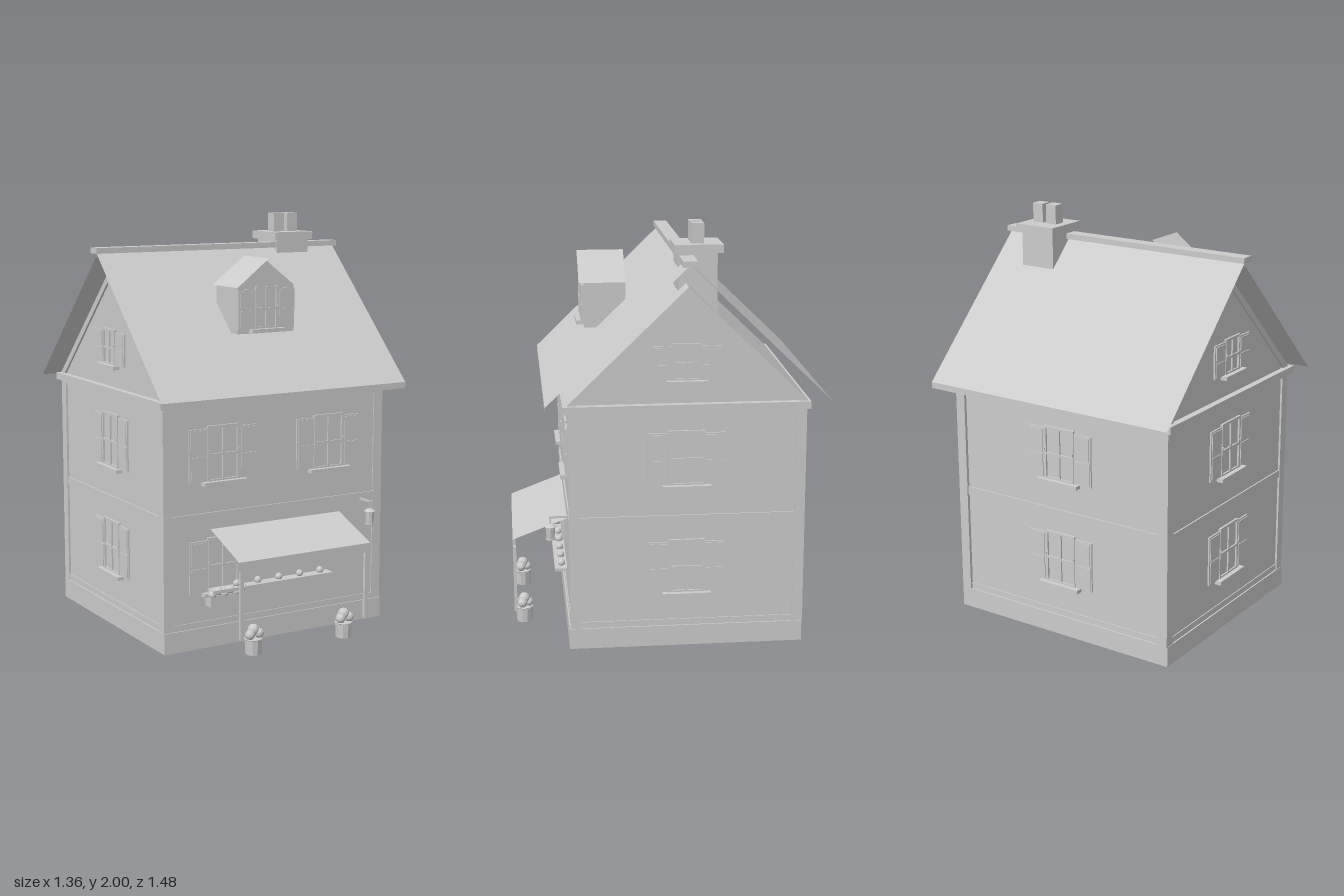
import * as THREE from 'three';

const mat = new THREE.MeshStandardMaterial({ color: 0xcccccc, flatShading: true });
const openMat = new THREE.MeshStandardMaterial({ color: 0xcccccc, flatShading: true, side: THREE.DoubleSide });
const CZ = -0.08; // depth of the house centre line

function add(parent, name, geo, x = 0, y = 0, z = 0, material = mat) {
  const m = new THREE.Mesh(geo, material);
  m.name = name;
  m.position.set(x, y, z);
  parent.add(m);
  return m;
}

// box given by its min/max on each axis
function box(parent, name, x0, x1, y0, y1, z0, z1) {
  return add(parent, name, new THREE.BoxGeometry(x1 - x0, y1 - y0, z1 - z0),
    (x0 + x1) / 2, (y0 + y1) / 2, (z0 + z1) / 2);
}

// open sheet: a profile in x/y swept along z, facing up when it runs towards +x
function sheet(points, length) {
  const pos = [], h = length / 2;
  for (let i = 0; i < points.length - 1; i++) {
    const [ax, ay] = points[i], [bx, by] = points[i + 1];
    pos.push(ax, ay, h, bx, by, h, bx, by, -h, ax, ay, h, bx, by, -h, ax, ay, -h);
  }
  const g = new THREE.BufferGeometry();
  g.setAttribute('position', new THREE.Float32BufferAttribute(pos, 3));
  g.computeVertexNormals();
  return g;
}

// solid prism centred along z
function prism(points, length) {
  const s = new THREE.Shape(points.map(p => new THREE.Vector2(...p)));
  return new THREE.ExtrudeGeometry(s, { depth: length, bevelEnabled: false }).translate(0, 0, -length / 2);
}

// shuttered window facing +z, standing on y = 0 against the plane z = 0
function shutteredWindow(w, h, shutter) {
  const g = new THREE.Group();
  g.name = 'window';
  const a = w / 2;
  box(g, 'pane', -a, a, 0.01, h, -0.01, 0.003);
  for (const s of [-1, 1]) {
    box(g, 'frameSide', s * (a - 0.006) - 0.006, s * (a - 0.006) + 0.006, 0.01, h, 0, 0.012);
    const c = s * (a + shutter / 2), b = shutter / 2;
    box(g, 'shutter', c - b, c + b, 0.012, h - 0.012, 0, 0.008);
    for (const k of [0, 1]) {
      const y = 0.02 + k * (h - 0.03) / 2;
      box(g, 'shutterPanel', c - b + 0.008, c + b - 0.008, y, y + (h - 0.05) / 2, 0.006, 0.012);
    }
    box(g, 'shutterCatch', s * (a - 0.004) - 0.003, s * (a - 0.004) + 0.003, h * 0.55, h * 0.55 + 0.012, 0.01, 0.018);
  }
  for (const y of [0.016, h / 2, h - 0.006]) box(g, 'frameBar', -a, a, y - 0.006, y + 0.006, 0, 0.011);
  box(g, 'mullion', -0.005, 0.005, 0.01, h, 0, 0.011);
  box(g, 'sill', -a - 0.03, a + 0.03, -0.004, 0.014, 0, 0.035);
  return g;
}

function placeWindow(parent, x, y, z, turn, w = 0.17, h = 0.275, shutter = 0.097) {
  const g = shutteredWindow(w, h, shutter);
  g.position.set(x, y, z);
  g.rotation.y = turn;
  parent.add(g);
}

function flowerTub(x) {
  const g = new THREE.Group();
  g.name = 'flowerTub';
  add(g, 'tub', new THREE.CylinderGeometry(0.042, 0.038, 0.075, 10), 0, 0.0475, 0);
  add(g, 'tubRim', new THREE.TorusGeometry(0.04, 0.004, 4, 10).rotateX(Math.PI / 2), 0, 0.083, 0);
  for (const [bx, by, bz, r] of [[0, 0.125, 0, 0.028], [-0.024, 0.105, 0.01, 0.024], [0.024, 0.108, 0.01, 0.024], [0, 0.105, -0.022, 0.022]])
    add(g, 'bloom', new THREE.IcosahedronGeometry(r, 1), bx, by, bz);
  g.position.set(x, 0, 0.687);
  return g;
}

export function createModel() {
  const house = new THREE.Group();
  house.name = 'house';

  // walls, plinth and bands
  box(house, 'walls', -0.6, 0.6, 0.05, 1.18, -0.62, 0.47);
  box(house, 'plinth', -0.612, 0.612, 0, 0.1, -0.632, 0.48);
  box(house, 'plinthBand', -0.605, 0.605, 0.1, 0.13, -0.625, 0.474);
  box(house, 'storeyBand', -0.607, 0.607, 0.61, 0.65, -0.627, 0.477);
  box(house, 'corniceLower', -0.61, 0.61, 1.14, 1.16, -0.63, 0.48);
  box(house, 'cornice', -0.632, 0.632, 1.155, 1.19, -0.65, 0.5);
  for (const sx of [-1, 1]) for (const sz of [-1, 1])
    box(house, 'cornerPost', sx * 0.585 - 0.025, sx * 0.585 + 0.025, 0.1, 1.155,
      CZ + sz * 0.53 - 0.025, CZ + sz * 0.53 + 0.025);

  // gables with their raking trim
  const gable = add(house, 'gable', prism([[-0.54, 1.18], [0.54, 1.18], [0, 1.71]], 1.2), 0, 0, CZ);
  const rake = add(house, 'rakeTrim',
    prism([[-0.56, 1.19], [-0.515, 1.19], [0, 1.69], [0.515, 1.19], [0.56, 1.19], [0, 1.73]], 1.22), 0, 0, CZ);
  gable.rotation.y = rake.rotation.y = Math.PI / 2;

  // roof slopes with open ends, and ridge beam
  for (const s of [-1, 1]) {
    const slope = add(house, 'roofSlope',
      sheet([[0, 1.84], [0.66, 1.2], [0.66, 1.17], [0, 1.81]], 1.34), 0, 0, CZ);
    slope.rotation.y = -s * Math.PI / 2;
  }
  box(house, 'ridgeBeam', -0.68, 0.68, 1.83, 1.857, -0.113, -0.047);

  // chimney
  box(house, 'chimneyStack', 0.317, 0.5, 1.58, 1.875, -0.225, -0.042);
  box(house, 'chimneyCap', 0.298, 0.518, 1.868, 1.907, -0.25, -0.025);
  for (const x of [0.37, 0.448]) box(house, 'chimneyPot', x - 0.029, x + 0.029, 1.9, 2, -0.165, -0.107);

  // dormer
  box(house, 'dormerBody', -0.155, 0.155, 1.46, 1.68, 0.17, 0.37);
  add(house, 'dormerGable', prism([[-0.155, 1.68], [0.155, 1.68], [0, 1.8]], 0.01), 0, 0, 0.37);
  add(house, 'dormerRoof', sheet([[-0.175, 1.68], [0, 1.812], [0.175, 1.68]], 0.225), 0, 0, 0.2825);
  placeWindow(house, 0, 1.468, 0.37, 0, 0.125, 0.212, 0.092);

  // windows on all sides
  for (const x of [-0.293, 0.293]) placeWindow(house, x, 0.785, 0.47, 0);
  placeWindow(house, -0.293, 0.255, 0.47, 0);
  for (const y of [0.255, 0.785]) {
    placeWindow(house, 0, y, -0.62, Math.PI);
    for (const s of [-1, 1]) placeWindow(house, s * 0.6, y, -0.075, s * Math.PI / 2);
  }
  for (const s of [-1, 1]) placeWindow(house, s * 0.6, 1.285, -0.075, s * Math.PI / 2, 0.13, 0.185, 0.095);

  // awning on two posts
  const awning = add(house, 'awning',
    sheet([[0.475, 0.57], [0.738, 0.47], [0.738, 0.425]], 0.725), 0, 0, 0, openMat);
  awning.rotation.y = -Math.PI / 2;
  for (const x of [-0.345, 0.345]) box(house, 'awningPost', x - 0.009, x + 0.009, 0.1, 0.43, 0.722, 0.737);

  // shop counter with produce, and a planter
  box(house, 'counter', -0.38, 0.29, 0.272, 0.287, 0.475, 0.535);
  for (const x of [-0.235, -0.118, 0, 0.118, 0.235])
    add(house, 'produce', new THREE.IcosahedronGeometry(0.018, 1), x, 0.298, 0.5);
  box(house, 'planter', -0.39, -0.195, 0.207, 0.262, 0.475, 0.53);
  for (let i = 0; i < 6; i++)
    add(house, 'planterBloom', new THREE.IcosahedronGeometry(0.02, 1), -0.375 + i * 0.033, 0.265 + (i % 2) * 0.012, 0.515);

  // hanging lantern
  const lantern = new THREE.Group();
  lantern.name = 'lantern';
  box(lantern, 'bracket', -0.005, 0.005, 0.615, 0.625, 0.475, 0.565);
  box(lantern, 'hanger', -0.003, 0.003, 0.58, 0.62, 0.556, 0.562);
  add(lantern, 'lanternCap', new THREE.CylinderGeometry(0.012, 0.029, 0.012, 8), 0, 0.58, 0.559);
  add(lantern, 'lanternBody', new THREE.CylinderGeometry(0.023, 0.019, 0.06, 8), 0, 0.545, 0.559);
  add(lantern, 'lanternBase', new THREE.CylinderGeometry(0.023, 0.023, 0.007, 8), 0, 0.5125, 0.559);
  lantern.position.x = 0.485;
  house.add(lantern);

  // flower tubs
  house.add(flowerTub(-0.255), flowerTub(0.25));
  return house;
}
